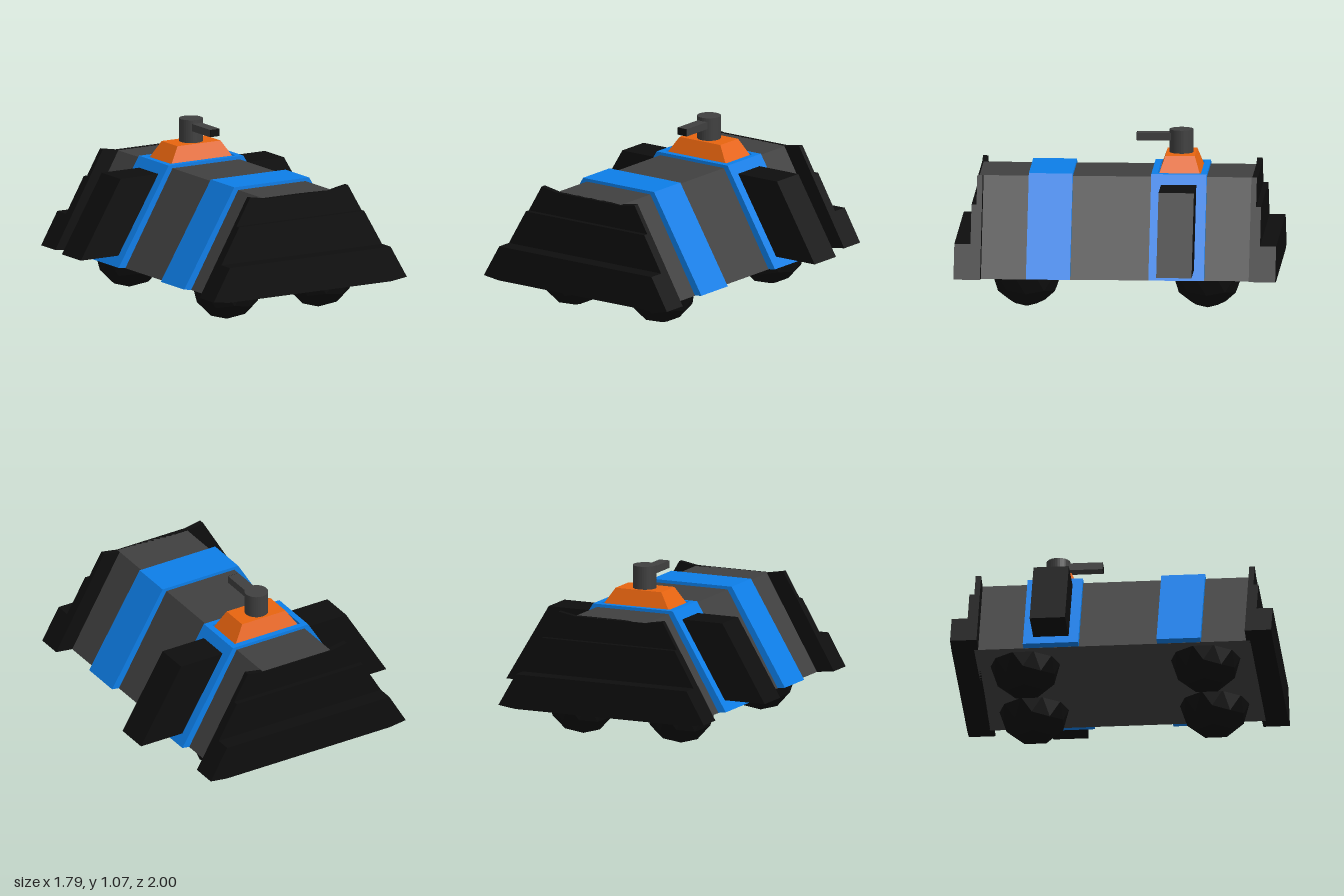
import * as THREE from 'three';

const mat = (color) => new THREE.MeshStandardMaterial({ color, flatShading: true });

export function createModel() {
  const model = new THREE.Group();
  const grey = mat(0x404040), black = mat(0x0e0e0e), blue = mat(0x0d7ee8), orange = mat(0xe8640f);
  const cx = -0.012; // hull centre line

  const add = (name, geometry, material, x = 0, y = 0, z = 0) => {
    const mesh = new THREE.Mesh(geometry, material);
    mesh.name = name;
    mesh.position.set(x, y, z);
    model.add(mesh);
    return mesh;
  };

  // Prism along z from a closed outline
  const prism = (points, z0, z1) => {
    const shape = new THREE.Shape(points.map(([x, y]) => new THREE.Vector2(x, y)));
    return new THREE.ExtrudeGeometry(shape, { depth: z1 - z0, bevelEnabled: false }).translate(0, 0, z0);
  };
  // Outline mirrored from its right half, listed bottom to top
  const mirrored = (half) => [...half, ...half.map(([x, y]) => [-x, y]).reverse()];

  // Hull
  add('hull', prism(mirrored([[0.593, 0.21], [0.247, 0.805]]), -0.86, 0.86), grey, cx);

  // Bands around the hull; the rear one has a recess on top for the turret
  const band = [[0.593, 0.211], [0.643, 0.218], [0.275, 0.825]];
  const notched = [...band, [0.237, 0.825], [0.237, 0.808]];
  add('frontBand', prism(mirrored(band), 0.28, 0.553), blue, cx);
  add('rearBandBack', prism(mirrored(band), -0.553, -0.515), blue, cx);
  add('rearBandMiddle', prism(mirrored(notched), -0.515, -0.247), blue, cx);
  add('rearBandFront', prism(mirrored(band), -0.247, -0.208), blue, cx);

  // Stepped bumpers at both ends, each layer lower than the one inside it
  const sideX = (y) => 0.71 - (y - 0.225) * 0.35 / 0.6;
  const layers = [[0.835, 0.869, 0.825], [0.869, 0.9, 0.655], [0.9, 1, 0.43]];
  for (const end of [1, -1]) {
    for (const [z0, z1, top] of layers) {
      const outline = [[0.593, 0.21], [0.71, 0.225], [sideX(top), top]];
      if (top > 0.8) outline.push([0.247, 0.805]);
      const [a, b] = end > 0 ? [z0, z1] : [-z1, -z0];
      add(end > 0 ? 'frontBumper' : 'rearBumper', prism(mirrored(outline), a, b), black, cx);
    }
  }

  // Side pods leaning along the rear band
  const pod = [[0.56, 0.28], [0.893, 0.28], [0.6, 0.765], [0.27, 0.765]];
  add('leftPod', prism(pod, -0.49, -0.27), black);
  add('rightPod', prism(pod.map(([x, y]) => [-x, y]).reverse(), -0.49, -0.27), black);

  // Faceted ball wheels, half sunk in the hull, resting on a vertex
  const ball = new THREE.IcosahedronGeometry(0.218, 1).rotateZ(-Math.atan(2 / (1 + Math.sqrt(5))));
  for (const x of [-0.337, 0.337]) {
    for (const z of [-0.562, 0.562]) add('wheel', ball, black, x + cx, 0.218, z);
  }

  // Turret base: box narrowed toward the top
  const base = new THREE.BoxGeometry(0.474, 0.12, 0.266);
  const p = base.attributes.position;
  for (let i = 0; i < p.count; i++) {
    if (p.getY(i) > 0) p.setXYZ(i, p.getX(i) * 0.667, p.getY(i), p.getZ(i) * 0.69);
  }
  base.computeVertexNormals();
  add('turretBase', base, orange, cx, 0.86, -0.381);

  // Turret and barrel
  add('turret', new THREE.CylinderGeometry(0.074, 0.074, 0.16, 32), grey, cx, 0.985, -0.383);
  add('barrel', new THREE.BoxGeometry(0.07, 0.047, 0.26), grey, cx, 1.019, -0.237);
  add('muzzle', new THREE.BoxGeometry(0.068, 0.045, 0.004), black, cx, 1.019, -0.106);

  return model;
}
